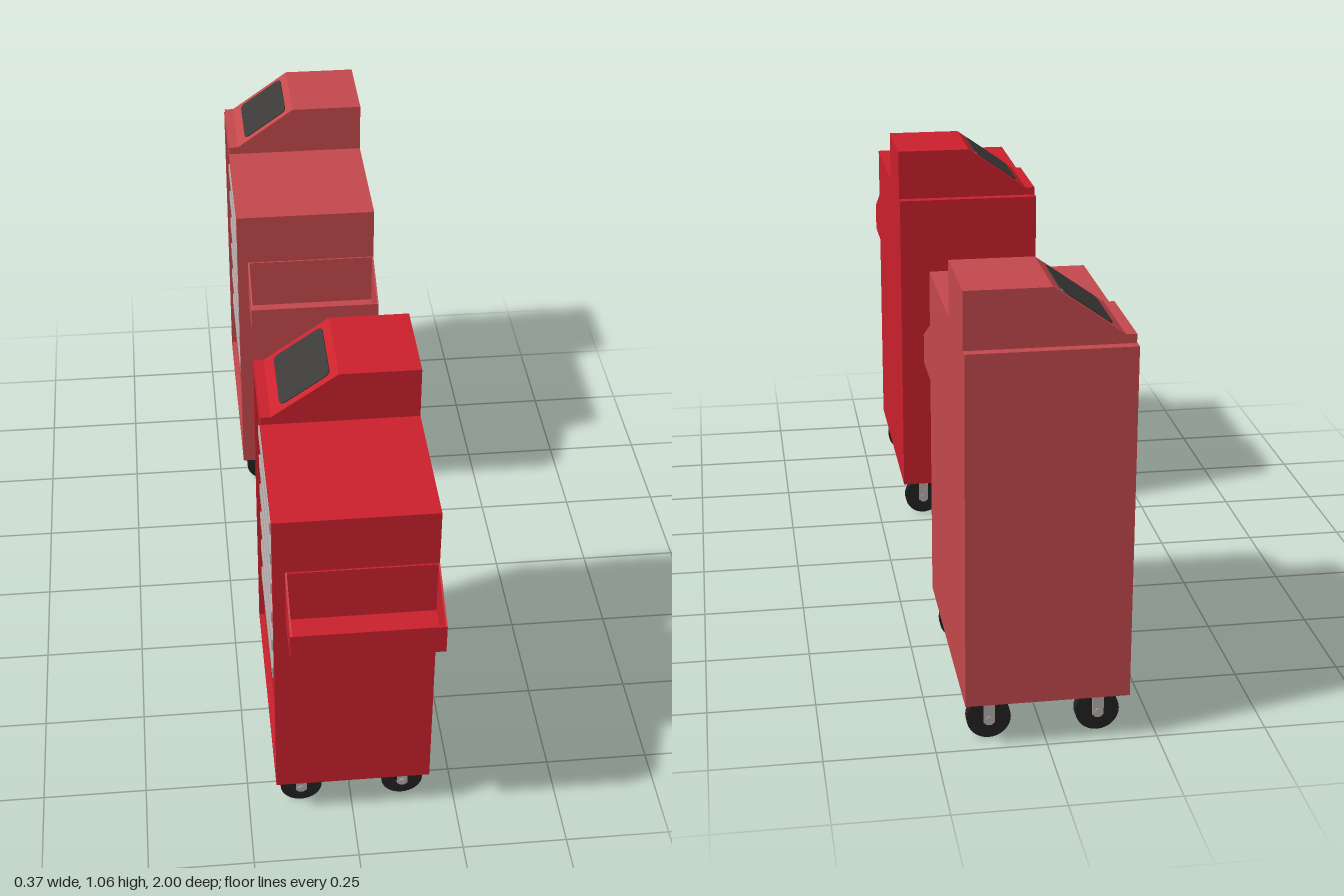
import * as THREE from 'three';

const mat = (name, color, side = THREE.FrontSide) => {
  const m = new THREE.MeshStandardMaterial({ color, side });
  m.name = name;
  return m;
};

// shape drawn in (z, y), extruded along -x from x = x0
const extrudeX = (shape, depth, x0) =>
  new THREE.ExtrudeGeometry(shape, { depth, bevelEnabled: false })
    .rotateY(-Math.PI / 2).translate(x0, 0, 0);

const poly = pts => new THREE.Shape(pts.map(p => new THREE.Vector2(...p)));

const rect = (a, b, c, d) => poly([[a, c], [b, c], [b, d], [a, d]]);

function add(parent, name, geometry, material) {
  const mesh = new THREE.Mesh(geometry, material);
  mesh.name = name;
  parent.add(mesh);
  return mesh;
}

// box given by its min and max on each axis
function block(parent, name, material, x0, x1, y0, y1, z0, z1) {
  const g = new THREE.BoxGeometry(x1 - x0, y1 - y0, z1 - z0);
  g.translate((x0 + x1) / 2, (y0 + y1) / 2, (z0 + z1) / 2);
  return add(parent, name, g, material);
}

function makeCaster(mats) {
  const caster = new THREE.Group();
  caster.name = 'caster';
  const disc = (name, r, w, m) =>
    add(caster, name, new THREE.CylinderGeometry(r, r, w, 32).rotateX(Math.PI / 2).translate(0, 0.052, 0), m);
  disc('tyre', 0.05, 0.024, mats.rubber);
  disc('axle', 0.008, 0.05, mats.metal);
  for (const s of [-1, 1]) {
    const plate = poly([[-0.013, 0.106], [-0.013, 0.045], [-0.005, 0.038],
      [0.005, 0.038], [0.013, 0.045], [0.013, 0.106]].reverse());
    const g = new THREE.ExtrudeGeometry(plate, { depth: 0.004, bevelEnabled: false });
    add(caster, 'forkPlate', g.translate(0, 0, s * 0.02 - 0.002), mats.metal);
  }
  block(caster, 'forkTop', mats.metal, -0.013, 0.013, 0.104, 0.111, -0.022, 0.022);
  return caster;
}

function makeCart(paint, mats) {
  const cart = new THREE.Group();
  const X = 0.184, back = 0.26, front = 0.86, low = 0.11, high = 0.93;

  // cabinet with a raised frame around the drawers on the -x side
  block(cart, 'cabinet', paint, -0.166, X, low, high, back, front);
  const frame = rect(back, front, low, high);
  frame.holes.push(rect(back + 0.022, front - 0.022, low + 0.02, high - 0.016));
  add(cart, 'drawerFrame', extrudeX(frame, 0.019, -0.166), paint);

  // seven drawers with flat handles, the lowest one deeper
  let top = 0.912;
  for (let i = 0; i < 7; i++) {
    const bottom = i < 6 ? top - 0.09 : low + 0.022;
    block(cart, 'drawer', paint, -0.172, -0.164, bottom + 0.004, top, back + 0.025, front - 0.025);
    block(cart, 'drawerHandle', mats.metal, -0.181, -0.17, top - 0.046, top - 0.014, 0.35, 0.715);
    top = bottom;
  }

  // sloping console on top
  const profile = poly([[-X, high], [X, high], [X, 1.06], [-0.005, 1.06], [-0.16, 0.95], [-X, 0.95]]);
  const console = new THREE.ExtrudeGeometry(profile, { depth: 0.228, bevelEnabled: false });
  add(cart, 'console', console.translate(0, 0, 0.283), paint);

  // rounded screen lying on the slope
  const w = 0.07, h = 0.095, r = 0.018;
  const s = new THREE.Shape();
  s.moveTo(-w + r, -h);
  s.lineTo(w - r, -h).quadraticCurveTo(w, -h, w, -h + r);
  s.lineTo(w, h - r).quadraticCurveTo(w, h, w - r, h);
  s.lineTo(-w + r, h).quadraticCurveTo(-w, h, -w, h - r);
  s.lineTo(-w, -h + r).quadraticCurveTo(-w, -h, -w + r, -h);
  const screen = add(cart, 'screen',
    new THREE.ExtrudeGeometry(s, { depth: 0.003, bevelEnabled: false }).rotateX(-Math.PI / 2), mats.screen);
  screen.position.set(-0.0795, 1.0065, 0.396);
  screen.rotation.z = Math.atan2(0.11, 0.155);

  // open tray on the front
  const tray = new THREE.Group();
  tray.name = 'tray';
  cart.add(tray);
  const tx0 = -0.158, tx1 = 0.183, t = 0.004;
  const side = [[0.868, 0.655], [1, 0.655], [1, 0.728], [0.868, 0.795]];
  for (const x of [tx0 + t, tx1]) add(tray, 'traySide', extrudeX(poly(side), t, x), paint);
  block(tray, 'trayFloor', paint, tx0 + t, tx1 - t, 0.655, 0.655 + t, 0.868, 1);
  block(tray, 'trayFront', paint, tx0 + t, tx1 - t, 0.655 + t, 0.728, 1 - t, 1);
  block(tray, 'trayBack', paint, tx0 + t, tx1 - t, 0.655 + t, 0.795, 0.868, 0.868 + t);
  block(tray, 'trayMount', mats.metal, -0.12, 0.14, 0.69, 0.76, 0.859, 0.869);

  // four casters
  for (const x of [-0.122, 0.125]) for (const z of [0.32, 0.8]) {
    const c = makeCaster(mats);
    c.position.set(x, 0, z);
    cart.add(c);
  }
  return cart;
}

export function createModel() {
  const mats = {
    metal: mat('metal grey', 0xb5abaa),
    rubber: mat('rubber black', 0x222222),
    screen: mat('screen grey', 0x3c3a39),
  };
  const model = new THREE.Group();
  model.name = 'toolCarts';

  const redCart = makeCart(mat('bright red', 0xcb202c), mats);
  redCart.name = 'redCart';

  const fadedCart = makeCart(mat('faded red', 0xc4484c), mats);
  fadedCart.name = 'fadedCart';
  fadedCart.position.z = -1.258;

  model.add(redCart, fadedCart);
  return model;
}
